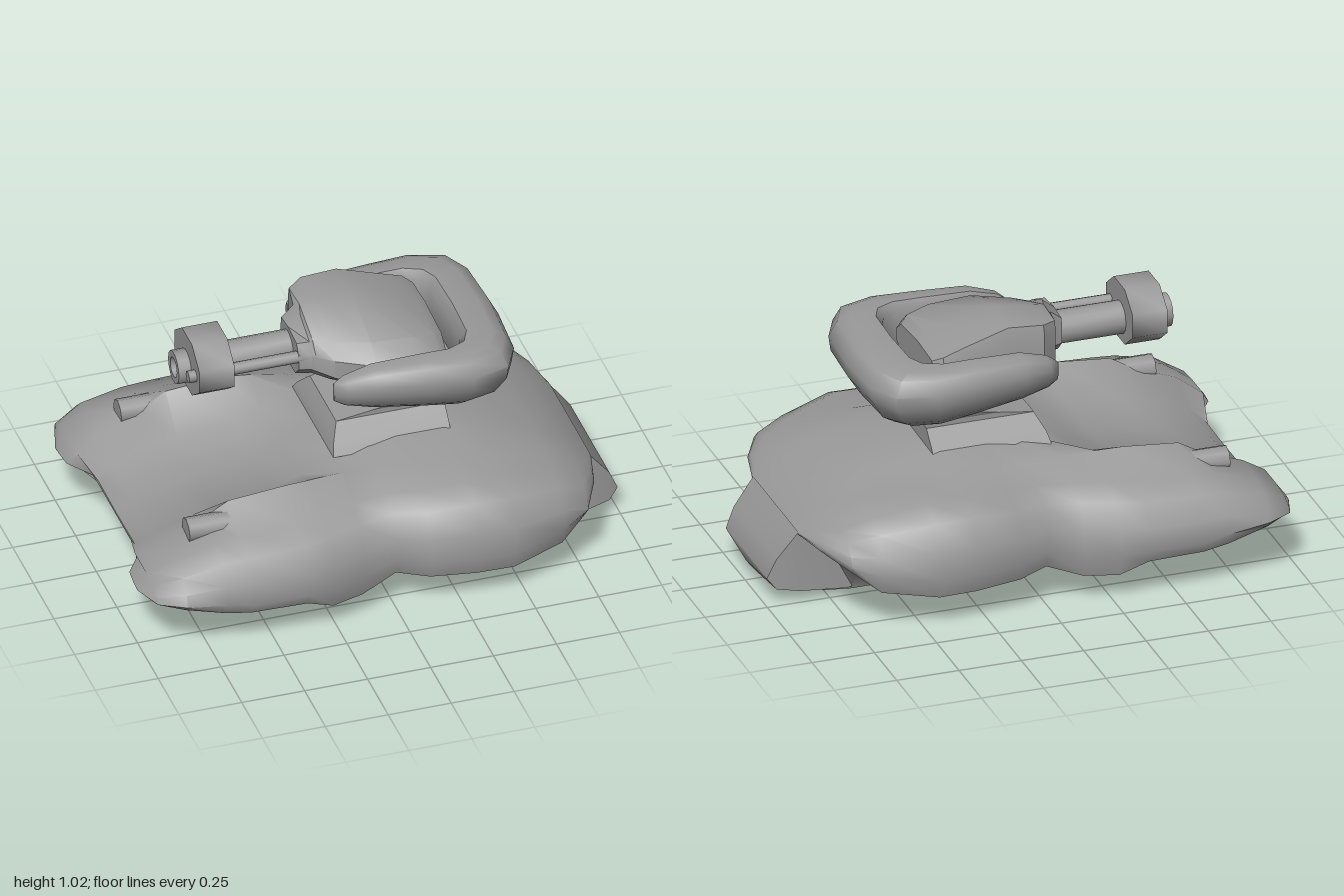
import * as THREE from 'three';
import { toCreasedNormals, mergeVertices } from 'three/addons/utils/BufferGeometryUtils.js';

const material = new THREE.MeshStandardMaterial({ color: 0x999999, side: THREE.DoubleSide });

// Skin a list of closed rings ([x, y, z] points); skip(i, j) leaves a quad open
function loft(rings, { crease = 0.7, capped = true, skip = () => false } = {}) {
  const n = rings[0].length, idx = [];
  for (let i = 0; i < rings.length - 1; i++) {
    for (let j = 0; j < n; j++) {
      if (skip(i, j)) continue;
      const k = (j + 1) % n;
      const a = i * n + j, b = i * n + k, c = b + n, d = a + n;
      idx.push(a, b, c, a, c, d);
    }
  }
  const last = (rings.length - 1) * n;
  for (let j = 1; capped && j < n - 1; j++) {
    idx.push(0, j + 1, j);
    idx.push(last, last + j, last + j + 1);
  }
  const g = new THREE.BufferGeometry();
  g.setAttribute('position', new THREE.Float32BufferAttribute(rings.flat(2), 3));
  g.setIndex(idx);
  return toCreasedNormals(mergeVertices(g), crease);
}

function add(parent, name, geometry) {
  const m = new THREE.Mesh(geometry, material);
  m.name = name;
  parent.add(m);
  return m;
}

// Cylinder lying along x
function rod(parent, name, x0, x1, r, y, z) {
  const g = new THREE.CylinderGeometry(r, r, x1 - x0, 8).rotateZ(Math.PI / 2);
  const m = add(parent, name, toCreasedNormals(g, 0.9));
  m.position.set((x0 + x1) / 2, y, z);
}

function buildHull() {
  // x, half width, heights of: centre, inner crest, shoulder, widest line, skirt edge, belly
  const stations = [
    [-1, 0.5, 0.24, 0.245, 0.245, 0.24, 0.24, 0.24],
    [-0.96, 0.63, 0.25, 0.3, 0.3, 0.25, 0.24, 0.24],
    [-0.86, 0.685, 0.3, 0.37, 0.36, 0.25, 0.225, 0.22],
    [-0.7, 0.69, 0.345, 0.43, 0.405, 0.23, 0.18, 0.12],
    [-0.6, 0.695, 0.365, 0.49, 0.415, 0.21, 0.165, 0.075],
    [-0.38, 0.695, 0.395, 0.51, 0.425, 0.21, 0.16, 0.025],
    [-0.27, 0.67, 0.435, 0.505, 0.435, 0.2, 0.11, 0.025],
    [-0.14, 0.63, 0.5, 0.495, 0.44, 0.2, 0.11, 0.025],
    [0, 0.6, 0.53, 0.48, 0.44, 0.23, 0.16, 0.025],
    [0.12, 0.655, 0.535, 0.475, 0.455, 0.22, 0.15, 0.025],
    [0.3, 0.665, 0.535, 0.47, 0.465, 0.21, 0.135, 0.02],
    [0.45, 0.67, 0.505, 0.46, 0.465, 0.21, 0.135, 0.02],
    [0.66, 0.605, 0.44, 0.43, 0.415, 0.23, 0.16, 0.02],
    [0.77, 0.56, 0.385, 0.38, 0.365, 0.27, 0.245, 0.03],
    [0.84, 0.42, 0.335, 0.335, 0.33, 0.295, 0.28, 0.06],
    [0.88, 0.26, 0.3, 0.3, 0.3, 0.295, 0.29, 0.12],
  ];
  const rings = stations.map(([x, w, cy, py, sh, wy, sy, by]) => {
    const low = x > 0.7 ? sy : Math.max(by, Math.min(sy, 0.11));
    const half = [
      [0, cy], [0.35 * w, cy * 0.92 + py * 0.08], [0.55 * w, py],
      [0.76 * w, sh], [0.9 * w, sh * 0.82 + wy * 0.18],
      [0.975 * w, sh * 0.4 + wy * 0.6], [w, wy], [0.965 * w, sy],
      [x > 0.7 ? 0.25 : 0.3, low], [0.24, by],
    ];
    const loop = [...half, ...half.slice(1).reverse().map(([z, y]) => [-z, y])];
    // The nose is notched between two forward prongs
    return loop.map(([z, y]) => {
      const notch = -0.92 - 0.08 * THREE.MathUtils.clamp((Math.abs(z) - 0.27) / 0.12, 0, 1);
      return [Math.max(x, notch), y, z];
    });
  });
  // Open channel along the belly
  const skip = (i, j) => j === 9 && i >= 5 && i < 12;
  return loft(rings, { crease: 0.85, capped: false, skip });
}

function buildTail() {
  // x, half width, top, bottom
  const rings = [[0.66, 0.25, 0.29, 0.015], [0.68, 0.25, 0.3, 0.01], [0.87, 0.255, 0.306, 0.03],
    [0.96, 0.24, 0.19, 0.045], [0.995, 0.23, 0.11, 0.09]].map(([x, w, t, b]) =>
    [[x, t, -w], [x, t, w], [x, b + 0.02, w], [x, b - 0.01, 0], [x, b + 0.02, -w]]);
  return loft(rings, { crease: 0.8 });
}

function buildNeck() {
  // y, rear x, front x, half width
  const rings = [[0.5, 0.33, -0.14, 0.25], [0.54, 0.33, -0.13, 0.22], [0.6, 0.33, -0.1, 0.16],
    [0.62, 0.345, 0.04, 0.16], [0.68, 0.44, 0.27, 0.19], [0.74, 0.5, 0.3, 0.22]].map(
    ([y, x1, x0, w]) => [[x0, y, w], [x1, y, w], [x1, y, -w], [x0, y, -w]]);
  return loft(rings, { crease: 0.4 });
}

function buildYoke() {
  // outer x, outer z, inner x, inner z, bottom, top
  const side = [
    [-0.15, 0.3, -0.15, 0.275, 0.785, 0.86],
    [-0.11, 0.335, -0.11, 0.27, 0.765, 0.89],
    [0, 0.37, 0, 0.265, 0.74, 0.92],
    [0.2, 0.39, 0.2, 0.265, 0.71, 0.925],
    [0.37, 0.405, 0.3, 0.265, 0.695, 0.925],
    [0.52, 0.36, 0.36, 0.235, 0.685, 0.925],
    [0.58, 0.24, 0.385, 0.18, 0.67, 0.925],
    [0.595, 0, 0.39, 0, 0.67, 0.925],
  ];
  const mirror = side.slice(0, -1).reverse().map(([a, b, c, d, e, f]) => [a, -b, c, -d, e, f]);
  // across (0 inner, 1 outer), up (0 bottom, 1 top)
  const section = [[0.12, 1], [0.6, 1], [0.84, 0.93], [1, 0.68], [0.96, 0.45],
    [0.72, 0.15], [0.46, 0.02], [0.15, 0], [0, 0.2], [0, 0.85]];
  return loft([...side, ...mirror].map(([xo, zo, xi, zi, lo, hi]) => section.map(([s, u]) =>
    [xi + (xo - xi) * s, lo + (hi - lo) * u, zi + (zo - zi) * s])), { crease: 0.9 });
}

function buildGunHead() {
  // x, right z, left z, bottom, left top, right top
  const rings = [
    [-0.235, -0.1, 0.12, 0.795, 0.94, 0.95],
    [-0.185, -0.11, 0.125, 0.785, 0.94, 0.99],
    [-0.17, -0.21, 0.13, 0.775, 0.94, 1.0],
    [-0.11, -0.255, 0.18, 0.755, 0.945, 1.01],
    [0.03, -0.255, 0.25, 0.72, 0.95, 1.02],
    [0.2, -0.25, 0.25, 0.73, 0.94, 0.965],
    [0.29, -0.25, 0.23, 0.75, 0.92, 0.935],
    [0.325, -0.22, 0.19, 0.77, 0.9, 0.915],
  ].map(([x, r, l, lo, tl, tr]) => {
    const m = (r + l) / 2, h = (l - r) / 2, inset = Math.min(0.07, (tl - lo) * 0.3);
    return [[m - h * 0.94, tr - 0.01], [m - h * 0.2, tr], [m + h * 0.75, tl], [l, tl - inset],
      [l, lo + inset], [m + h * 0.6, lo], [m - h * 0.6, lo], [r, lo + inset], [r, tr - inset]]
      .map(([z, y]) => [x, y, z]);
  });
  return loft(rings, { crease: 0.6 });
}

export function createModel() {
  const model = new THREE.Group();
  model.name = 'hoverTank';

  add(model, 'hull', buildHull());
  add(model, 'tail', buildTail());

  // Small guns on the front prongs
  for (const s of [1, -1]) rod(model, 'prongGun', -0.78, -0.58, 0.05, 0.413, s * 0.415);

  const turret = new THREE.Group();
  turret.name = 'turret';
  model.add(turret);
  add(turret, 'neck', buildNeck());
  add(turret, 'yoke', buildYoke());
  add(turret, 'gunHead', buildGunHead());

  // Hollow main barrel: radius and distance along the bore
  const profile = [[0.066, 0], [0.066, 0.49], [0.04, 0.49], [0.04, 0.4], [0, 0.4]]
    .map(([r, d]) => new THREE.Vector2(r, d));
  const barrel = toCreasedNormals(new THREE.LatheGeometry(profile, 14), 0.7);
  add(turret, 'mainBarrel', barrel.rotateZ(Math.PI / 2)).position.set(-0.2, 0.863, -0.01);
  rod(turret, 'sideBarrel', -0.67, -0.2, 0.024, 0.885, 0.1);

  // Heavy eight-sided block around the muzzle
  const block = new THREE.CylinderGeometry(0.162, 0.162, 0.14, 8).rotateY(Math.PI / 8);
  block.rotateZ(Math.PI / 2).scale(1, 0.77, 1);
  add(turret, 'muzzleBlock', toCreasedNormals(block, 1)).position.set(-0.57, 0.885, 0);

  return model;
}
